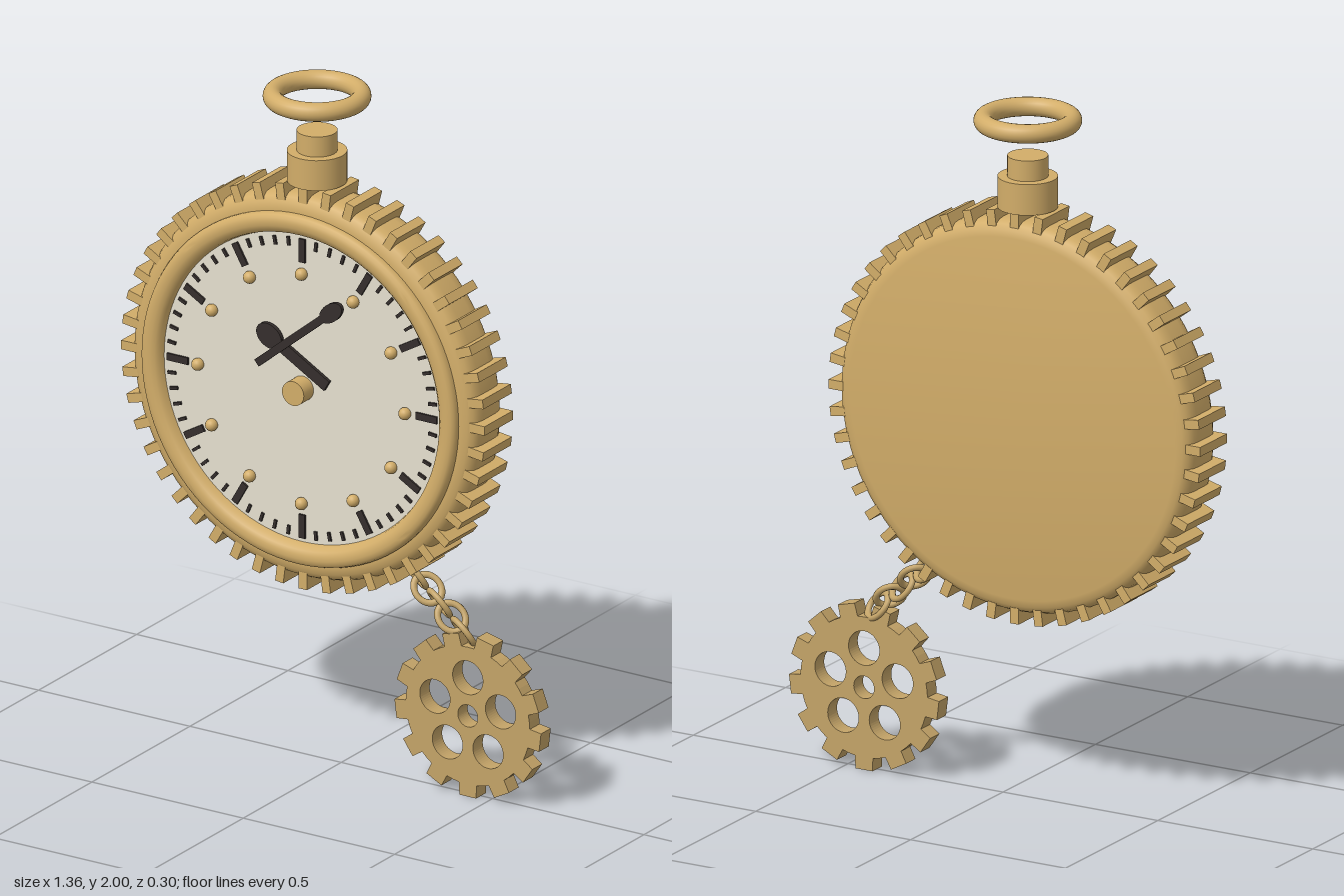
import * as THREE from 'three';
import { toCreasedNormals } from 'three/addons/utils/BufferGeometryUtils.js';

const material = (name, color) => {
  const m = new THREE.MeshStandardMaterial({ color });
  m.name = name;
  return m;
};

export function createModel() {
  const gold = material('gold', 0xd2ad69);
  const brass = material('brass', 0xc4a468);
  const cream = material('cream dial', 0xe6e0d0);
  const dark = material('dark enamel', 0x352e2c);

  const model = new THREE.Group();
  model.name = 'pocketWatch';
  const add = (parent, name, geometry, mat, x = 0, y = 0, z = 0) => {
    const mesh = new THREE.Mesh(geometry, mat);
    mesh.name = name;
    mesh.position.set(x, y, z);
    parent.add(mesh);
    return mesh;
  };
  // Turned shape around the z axis; profile pairs are [radius, z] from back to front
  const turned = (profile) => toCreasedNormals(
    new THREE.LatheGeometry(profile.map(([r, z]) => new THREE.Vector2(r, z)), 96).rotateX(Math.PI / 2), 0.6);

  const watch = new THREE.Group();
  watch.name = 'watch';
  watch.position.set(-0.08, 1.125, 0);
  model.add(watch);

  // Rounded case body and raised bezel
  add(watch, 'case', turned([
    [0, -0.082], [0.525, -0.082], [0.545, -0.078], [0.56, -0.068], [0.568, -0.05], [0.57, -0.03],
    [0.57, 0.03], [0.568, 0.05], [0.56, 0.066], [0.545, 0.076], [0.525, 0.08], [0.5, 0.08],
    [0.46, 0.07], [0, 0.07],
  ]), gold);
  add(watch, 'bezel', turned([
    [0.52, 0.07], [0.52, 0.088], [0.516, 0.098], [0.508, 0.104], [0.497, 0.106],
    [0.484, 0.105], [0.472, 0.1], [0.462, 0.09], [0.457, 0.07],
  ]), gold);

  // Grip ribs around the rim
  for (let i = 0; i < 48; i++) {
    const a = (i / 48) * Math.PI * 2;
    const rib = add(watch, 'rimRib', new THREE.BoxGeometry(0.05, 0.027, 0.145), gold,
      Math.cos(a) * 0.575, Math.sin(a) * 0.575, 0);
    rib.rotation.z = a;
  }

  // Dial with minute ticks, hour ticks and hour beads
  const dialZ = 0.073;
  add(watch, 'dial', new THREE.CircleGeometry(0.46, 96), cream, 0, 0, dialZ);
  for (let i = 0; i < 60; i++) {
    const a = (i / 60) * Math.PI * 2;
    const hour = i % 5 === 0;
    const length = hour ? 0.07 : 0.026;
    const r = 0.446 - length / 2;
    const tick = add(watch, hour ? 'hourTick' : 'minuteTick',
      new THREE.BoxGeometry(length, hour ? 0.021 : 0.009, 0.006), dark,
      Math.cos(a) * r, Math.sin(a) * r, dialZ + 0.003);
    tick.rotation.z = a;
    if (hour) {
      add(watch, 'hourBead', new THREE.SphereGeometry(0.018, 16, 12), gold,
        Math.cos(a) * 0.342, Math.sin(a) * 0.342, dialZ + 0.008);
    }
  }
  add(watch, 'centrePin', new THREE.CylinderGeometry(0.036, 0.036, 0.052, 32).rotateX(Math.PI / 2), gold, 0, 0, 0.097);

  // Hands: bar from tail to head, with an oval plate at the head
  const hand = (name, tail, head, width, rx, ry, z) => {
    const dx = head[0] - tail[0], dy = head[1] - tail[1];
    const group = new THREE.Group();
    group.name = name;
    group.position.set(tail[0], tail[1], z);
    group.rotation.z = Math.atan2(dy, dx);
    const length = Math.hypot(dx, dy);
    add(group, name + 'Bar', new THREE.BoxGeometry(length, width, 0.01), dark, length / 2);
    const oval = new THREE.CylinderGeometry(1, 1, 0.012, 32).rotateX(Math.PI / 2).scale(rx, ry, 1);
    add(group, name + 'Head', oval, dark, length);
    watch.add(group);
  };
  hand('hourHand', [0.09, 0.03], [-0.1, 0.14], 0.035, 0.044, 0.034, 0.086);
  hand('minuteHand', [-0.135, 0.055], [0.11, 0.256], 0.023, 0.043, 0.025, 0.096);

  // Crown and horizontal bow ring
  add(watch, 'crownCollar', new THREE.CylinderGeometry(0.084, 0.084, 0.09, 48), gold, 0, 0.642);
  add(watch, 'crownStem', new THREE.CylinderGeometry(0.057, 0.057, 0.08, 48), gold, 0, 0.707);
  add(watch, 'bowRing', new THREE.TorusGeometry(0.124, 0.027, 20, 64).rotateX(Math.PI / 2), gold, 0, 0.848);

  // Chain of oval links, alternately turned about the chain direction
  const chain = new THREE.Group();
  chain.name = 'chain';
  chain.position.set(0.23, 0.63, 0);
  chain.rotation.z = Math.atan2(-0.165, 0.19);
  model.add(chain);
  for (let i = 0; i < 5; i++) {
    const link = add(chain, 'chainLink',
      new THREE.TorusGeometry(0.036, 0.009, 10, 28).scale(1.2, 1, 1), brass, 0.022 + i * 0.052);
    link.rotation.x = Math.PI / 4 + (i % 2) * Math.PI / 2;
  }

  // Gear charm with thirteen square teeth and round openings
  const teeth = 13;
  const outline = new THREE.Shape();
  const step = (Math.PI * 2) / teeth;
  const point = (r, a) => new THREE.Vector2(Math.cos(a) * r, Math.sin(a) * r);
  const points = [];
  for (let i = 0; i < teeth; i++) {
    const a = -Math.PI / 2 + i * step;
    points.push(point(0.205, a - 0.14), point(0.242, a - 0.115), point(0.242, a + 0.115), point(0.205, a + 0.14));
    points.push(point(0.205, a + step / 2));
  }
  outline.setFromPoints(points);
  const hole = (x, y, r) => outline.holes.push(new THREE.Path().absarc(x, y, r, 0, Math.PI * 2, true));
  hole(0, 0, 0.033);
  for (let i = 0; i < 5; i++) {
    const c = point(0.114, Math.PI / 2 + (i / 5) * Math.PI * 2);
    hole(c.x, c.y, 0.05);
  }
  const gear = new THREE.ExtrudeGeometry(outline, { depth: 0.05, bevelEnabled: false, curveSegments: 24 });
  add(model, 'gearCharm', gear.translate(0, 0, -0.025), brass, 0.434, 0.242, 0);

  return model;
}
